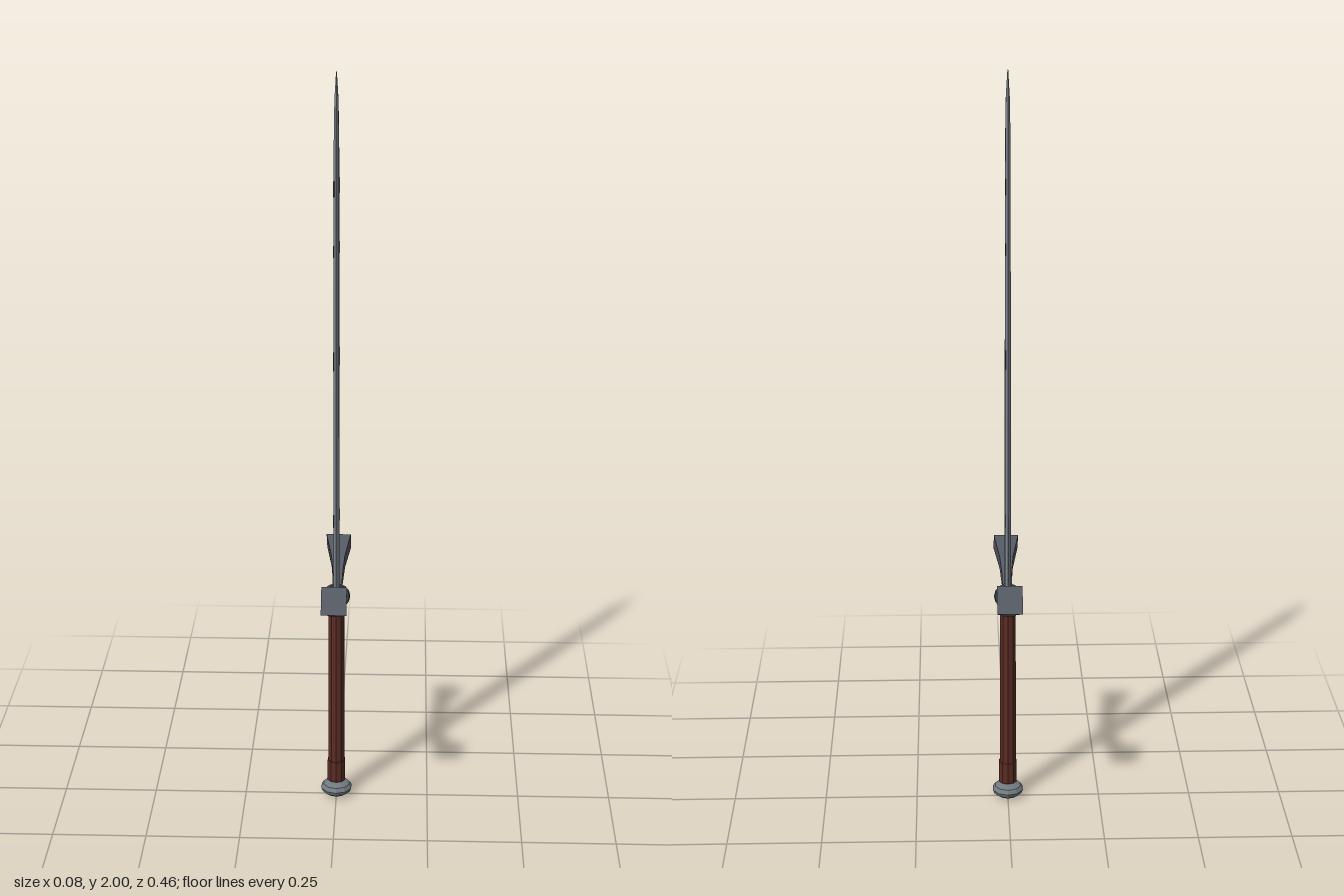
import * as THREE from 'three';

const material = (name, color) => {
  const m = new THREE.MeshStandardMaterial({ color });
  m.name = name;
  return m;
};

// Faceted solid through cross-sections, each counter-clockwise seen from the last end
function loft(sections) {
  const pos = [];
  const tri = (a, b, c) => pos.push(...a, ...b, ...c);
  const n = sections[0].length;
  for (let i = 0; i < sections.length - 1; i++) {
    for (let j = 0; j < n; j++) {
      const k = (j + 1) % n, s = sections[i], e = sections[i + 1];
      tri(s[j], s[k], e[k]);
      tri(s[j], e[k], e[j]);
    }
  }
  const first = sections[0], last = sections[sections.length - 1];
  for (let j = 1; j < n - 1; j++) {
    tri(first[0], first[j + 1], first[j]);
    tri(last[0], last[j], last[j + 1]);
  }
  const g = new THREE.BufferGeometry();
  g.setAttribute('position', new THREE.Float32BufferAttribute(pos, 3));
  g.computeVertexNormals();
  return g;
}

function faceted(geometry) {
  const g = geometry.toNonIndexed();
  g.computeVertexNormals();
  return g;
}

export function createModel() {
  const model = new THREE.Group();
  model.name = 'sword';
  const steel = material('blade steel', 0x838b93);
  const iron = material('dark iron', 0x555a63);
  const ringIron = material('ring iron', 0x42474d);
  const leather = material('brown leather', 0x5a2c24);
  const pommelSteel = material('pommel steel', 0x727a80);
  const stain = material('blade stain', 0x50575d);

  const add = (name, geometry, mat, y = 0) => {
    const mesh = new THREE.Mesh(geometry, mat);
    mesh.name = name;
    mesh.position.y = y;
    model.add(mesh);
    return mesh;
  };

  // Blade: flat middle with bevelled edges; rows are height, half width, half thickness
  const bladeRows = [[0.57, 0.043, 0.008], [1.25, 0.04, 0.0075], [1.82, 0.03, 0.0065], [1.93, 0.014, 0.005], [2, 0.001, 0.001]];
  add('blade', loft(bladeRows.map(([y, w, t]) => [
    [0, y, w], [t, y, w * 0.4], [t, y, -w * 0.4],
    [0, y, -w], [-t, y, -w * 0.4], [-t, y, w * 0.4],
  ])), steel);

  // Small worn patches near one edge on both faces
  for (const side of [-1, 1]) {
    for (const [y, h] of [[0.82, 0.035], [1.26, 0.05], [1.55, 0.03], [1.71, 0.04]]) {
      const patch = add('bladeStain', new THREE.BoxGeometry(0.001, h, 0.012), stain, y);
      patch.position.x = side * 0.0058;
      patch.position.z = -side * 0.02;
      patch.rotation.y = -0.31;
    }
  }

  // Crossguard: rows are top z, top y, bottom z, bottom y, half depth, out to one end
  const arm = [
    [0.05, 0.603, 0.05, 0.567, 0.013],
    [0.095, 0.62, 0.105, 0.582, 0.013],
    [0.14, 0.652, 0.16, 0.61, 0.018],
    [0.18, 0.7, 0.23, 0.642, 0.033],
  ];
  const mirrored = arm.map(([tz, ty, bz, by, h]) => [-tz, ty, -bz, by, h]).reverse();
  const guardRows = [...mirrored, [0, 0.595, 0, 0.563, 0.013], ...arm];
  add('crossguard', loft(guardRows.map(([tz, ty, bz, by, h]) => [
    [h, by, bz], [h, ty, tz], [-h, ty, tz], [-h, by, bz],
  ])), iron);

  // Side ring around the base of the blade
  add('guardRing', faceted(new THREE.TorusGeometry(0.031, 0.006, 6, 14)), ringIron, 0.596);

  // Grip with a slightly wider collar at its foot
  add('grip', faceted(new THREE.CylinderGeometry(0.022, 0.023, 0.47, 10)), leather, 0.335);
  add('gripCollar', faceted(new THREE.CylinderGeometry(0.025, 0.025, 0.06, 10)), leather, 0.077);

  // Pommel with a thin neck reaching into the grip
  const profile = [[0, 0], [0.025, 0.003], [0.039, 0.013], [0.043, 0.023], [0.036, 0.034], [0.022, 0.039], [0.012, 0.04], [0.01, 0.05]];
  add('pommel', faceted(new THREE.LatheGeometry(profile.map(([x, y]) => new THREE.Vector2(x, y)), 10)), pommelSteel);

  return model;
}
